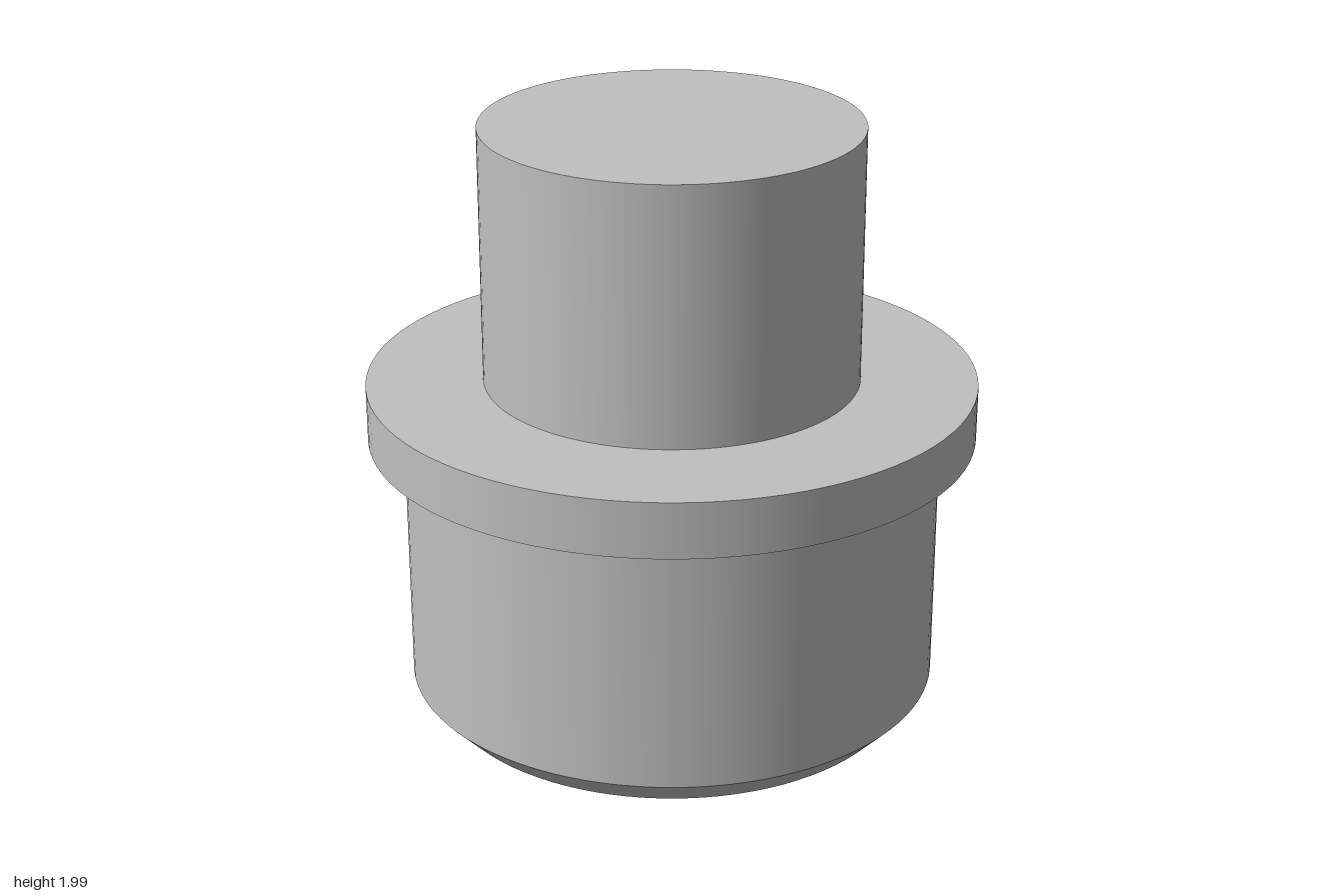
import * as THREE from 'three';
import { mergeGeometries } from 'three/addons/utils/BufferGeometryUtils.js';

const SEGMENTS = 96;

// Revolves a profile (bottom to top), each straight run on its own so edges stay sharp
function turned(name, profile, material) {
  const runs = profile.slice(1).map((end, i) =>
    new THREE.LatheGeometry(
      [new THREE.Vector2(...profile[i]), new THREE.Vector2(...end)], SEGMENTS));
  const mesh = new THREE.Mesh(mergeGeometries(runs), material);
  mesh.name = name;
  return mesh;
}

export function createModel() {
  const group = new THREE.Group();
  group.name = 'flangedPlug';
  const metal = new THREE.MeshStandardMaterial({ color: 0xc0c0c0 });
  metal.name = 'light grey metal';

  group.add(
    // Lower body with flat base and chamfered rim
    turned('body', [[0, 0], [0.79, 0], [0.883, 0.097], [0.883, 0.95]], metal),
    // Wide collar with its underside and upper shoulder
    turned('flange', [[0.883, 0.95], [1, 0.95], [1, 1.135], [0.618, 1.135]], metal),
    // Upper pin with flat top
    turned('stem', [[0.618, 1.135], [0.618, 1.987], [0, 1.987]], metal),
  );
  return group;
}
